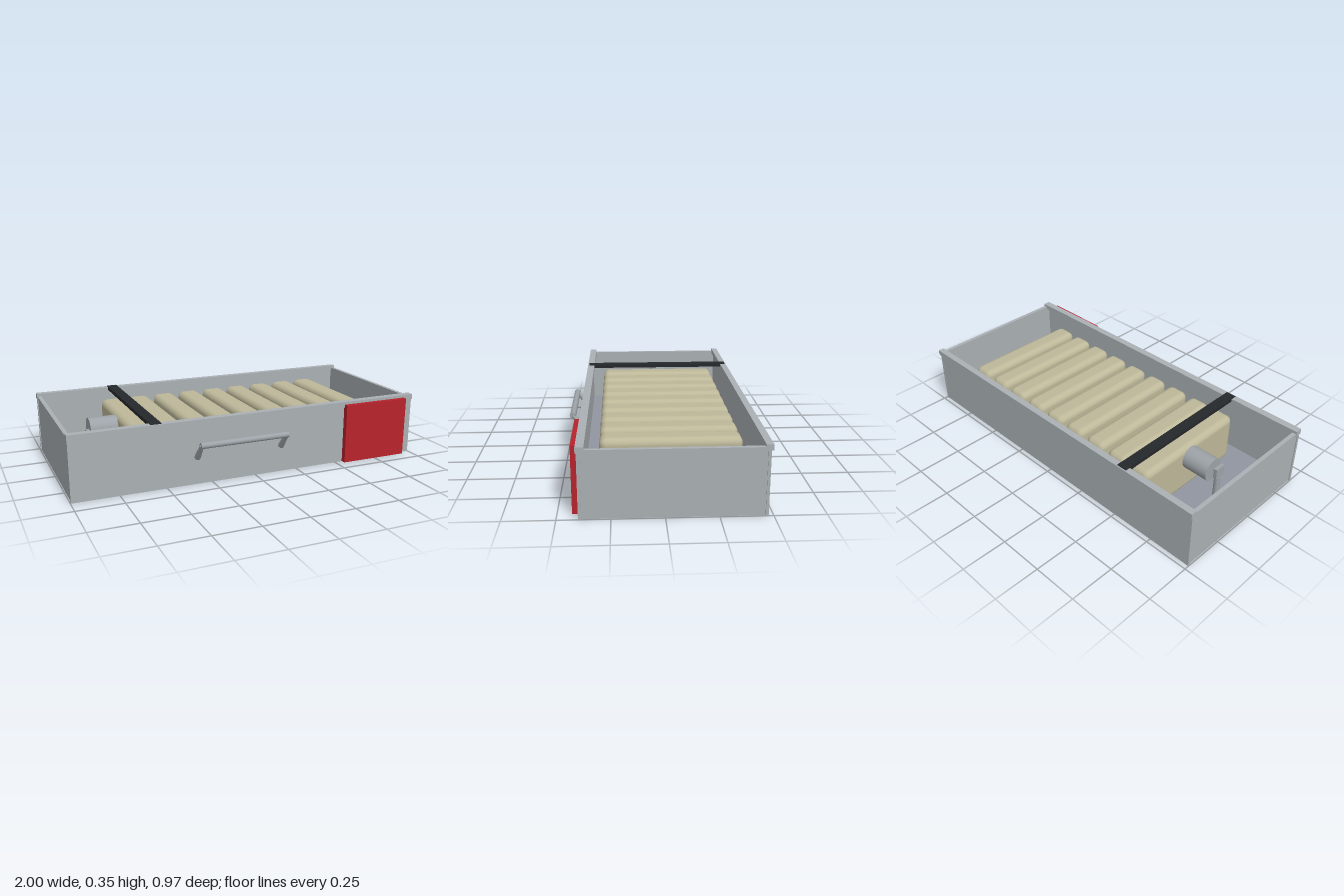
import * as THREE from 'three';
import { RoundedBoxGeometry } from 'three/addons/geometries/RoundedBoxGeometry.js';

const mat = (color) => new THREE.MeshStandardMaterial({ color });

export function createModel() {
  const model = new THREE.Group();
  const metal = mat(0xaab0b4), floorMetal = mat(0x9095a0), red = mat(0xb8232c);
  const black = mat(0x25282b), beige = mat(0xbdb899), steel = mat(0x9da3a8);

  function add(name, geometry, material) {
    const mesh = new THREE.Mesh(geometry, material);
    mesh.name = name;
    model.add(mesh);
    return mesh;
  }
  // Box given by its limits on each axis
  function box(name, [x0, x1], [y0, y1], [z0, z1], material) {
    const mesh = add(name, new THREE.BoxGeometry(x1 - x0, y1 - y0, z1 - z0), material);
    mesh.position.set((x0 + x1) / 2, (y0 + y1) / 2, (z0 + z1) / 2);
    return mesh;
  }
  // Tapered round rod between two points
  function rod(name, a, b, r0, r1, material) {
    const from = new THREE.Vector3(...a), to = new THREE.Vector3(...b);
    const dir = to.clone().sub(from);
    const mesh = add(name, new THREE.CylinderGeometry(r1, r0, dir.length(), 24), material);
    mesh.position.copy(from).addScaledVector(dir, 0.5);
    mesh.quaternion.setFromUnitVectors(new THREE.Vector3(0, 1, 0), dir.normalize());
    return mesh;
  }

  // Open tray: floor, long walls and their top rails
  box('floor', [-0.99, 0.99], [0, 0.02], [-0.465, 0.39], floorMetal);
  box('frontWall', [-0.99, 0.99], [0, 0.335], [0.387, 0.4], metal);
  box('backWall', [-0.99, 0.99], [0, 0.335], [-0.475, -0.462], metal);
  box('frontRail', [-1, 1], [0.32, 0.35], [0.365, 0.405], metal);
  box('backRail', [-1, 1], [0.32, 0.35], [-0.485, -0.45], metal);

  // Short walls with inner flange and corner strips
  for (const s of [-1, 1]) {
    const span = (a, b) => (s > 0 ? [a, b] : [-b, -a]);
    box('sideWall', span(0.98, 0.993), [0, 0.335], [-0.47, 0.395], metal);
    box('sideFlange', span(0.975, 0.997), [0.322, 0.336], [-0.465, 0.385], metal);
    box('frontCorner', span(0.985, 0.998), [0, 0.322], [0.385, 0.4], metal);
    box('backCorner', span(0.985, 0.998), [0, 0.322], [-0.476, -0.462], metal);
  }

  // Row of rounded blocks
  for (let i = 0; i < 9; i++) {
    const block = add('block', new RoundedBoxGeometry(0.127, 0.28, 0.695, 5, 0.035), beige);
    block.position.set(-0.58 + i * 0.16, 0.16, -0.043);
  }

  // Strap across the top
  box('strap', [-0.58, -0.522], [0.334, 0.352], [-0.449, 0.367], black);
  box('strapEnds', [-0.58, -0.522], [0.349, 0.354], [-0.478, 0.397], black);

  // Front plate
  box('frontPlate', [0.545, 0.94], [0.002, 0.335], [0.399, 0.43], red);

  // Slanted grab handle
  rod('handleBar', [-0.34, 0.229, 0.466], [0.16, 0.229, 0.466], 0.016, 0.016, steel);
  for (const x of [-0.333, 0.152]) {
    rod('handleLeg', [x, 0.147, 0.4], [x, 0.229, 0.466], 0.017, 0.011, steel);
  }

  // Round fitting on the end block, with a bent outlet
  rod('fitting', [-0.795, 0.225, -0.055], [-0.64, 0.225, -0.055], 0.064, 0.064, steel);
  const bend = new THREE.CatmullRomCurve3([
    new THREE.Vector3(-0.775, 0.21, -0.018),
    new THREE.Vector3(-0.796, 0.2, -0.018),
    new THREE.Vector3(-0.8, 0.17, -0.018),
    new THREE.Vector3(-0.8, 0.02, -0.018),
  ]);
  add('outlet', new THREE.TubeGeometry(bend, 20, 0.017, 12), steel);
  box('outletPlate', [-0.815, -0.78], [0.17, 0.23], [-0.05, 0.013], steel);

  return model;
}
